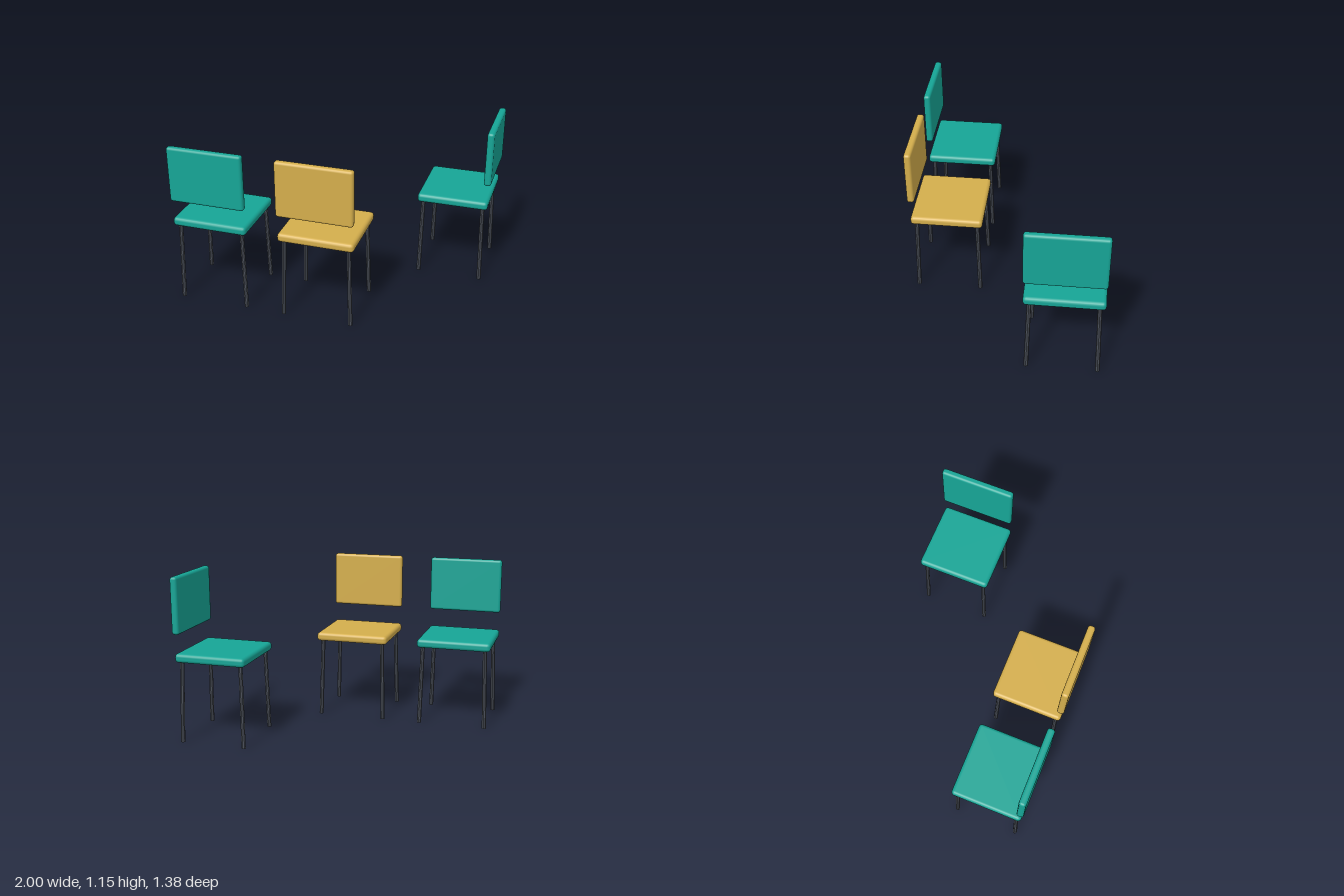
import * as THREE from 'three';
import { RoundedBoxGeometry } from 'three/addons/geometries/RoundedBoxGeometry.js';

const UP = new THREE.Vector3(0, 1, 0);

function addMesh(parent, name, geometry, material) {
  const mesh = new THREE.Mesh(geometry, material);
  mesh.name = name;
  parent.add(mesh);
  return mesh;
}

// One chair centred on its seat, with the backrest towards +z
function makeChair(name, padMaterial, legMaterial) {
  const chair = new THREE.Group();
  chair.name = name;

  // Padded seat and floating backrest
  addMesh(chair, 'seat', new RoundedBoxGeometry(0.525, 0.062, 0.5, 2, 0.023), padMaterial)
    .position.set(0, 0.595, 0);
  addMesh(chair, 'backrest', new RoundedBoxGeometry(0.525, 0.39, 0.05, 2, 0.018), padMaterial)
    .position.set(0, 0.95, 0.237);

  // Four thin legs, splayed outwards towards the floor
  for (const sx of [-1, 1]) {
    for (const sz of [-1, 1]) {
      const foot = new THREE.Vector3(sx * 0.237, 0, sz * 0.224);
      const top = new THREE.Vector3(sx * 0.222, 0.575, sz * 0.211);
      const axis = top.clone().sub(foot);
      const leg = addMesh(chair, `${sz > 0 ? 'back' : 'front'}${sx > 0 ? 'Left' : 'Right'}Leg`,
        new THREE.CylinderGeometry(0.0145, 0.0155, axis.length(), 8), legMaterial);
      leg.position.copy(foot).add(top).multiplyScalar(0.5);
      leg.quaternion.setFromUnitVectors(UP, axis.normalize());
    }
  }
  return chair;
}

export function createModel() {
  const model = new THREE.Group();
  model.name = 'chairSet';
  const teal = new THREE.MeshStandardMaterial({ color: 0x16a596 });
  const gold = new THREE.MeshStandardMaterial({ color: 0xd4ae4c });
  const steel = new THREE.MeshStandardMaterial({ color: 0x4a4f58, flatShading: true });

  // Two chairs side by side and one turned to face them
  const chairs = [
    ['rightTealChair', teal, -0.7375, 0.43, 0],
    ['goldChair', gold, 0.01, 0.43, 0],
    ['turnedTealChair', teal, 0.7375, -0.4275, Math.PI / 2],
  ];
  for (const [name, material, x, z, turn] of chairs) {
    const chair = makeChair(name, material, steel);
    chair.position.set(x, 0, z);
    chair.rotation.y = turn;
    model.add(chair);
  }
  return model;
}
